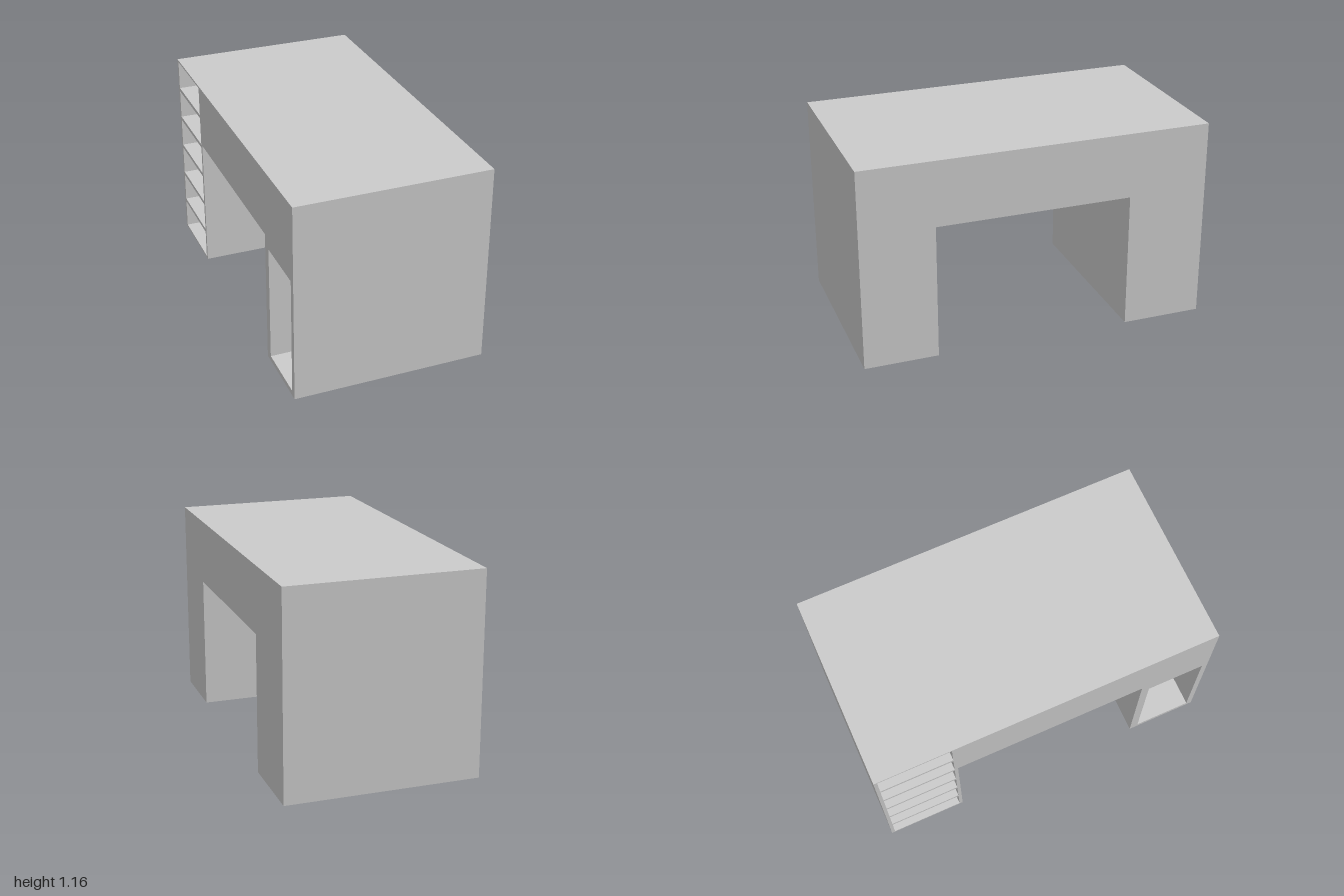
import * as THREE from 'three';

const material = new THREE.MeshStandardMaterial({ color: 0xcccccc, flatShading: true });

// Rectangular opening, given by its z and y ranges (shape u runs along -z)
function opening(z0, z1, y0, y1) {
  return new THREE.Path([[-z0, y0], [-z0, y1], [-z1, y1], [-z1, y0]]
    .map(([u, v]) => new THREE.Vector2(u, v)));
}

// Bridge-shaped slice of the desk between two x positions
function slice(name, x0, x1, holes) {
  const outline = [
    [1, 0.01], [0.58, 0.01], [0.58, 0.785], [-0.54, 0.785],
    [-0.54, 0], [-1, 0], [-1, 1.16], [1, 1.16],
  ].map(([z, y]) => new THREE.Vector2(-z, y));
  const shape = new THREE.Shape(outline);
  shape.holes.push(...holes);
  const geometry = new THREE.ExtrudeGeometry(shape, { depth: x1 - x0, bevelEnabled: false });
  geometry.rotateY(Math.PI / 2).translate(x0, 0, 0);
  const mesh = new THREE.Mesh(geometry, material);
  mesh.name = name;
  return mesh;
}

export function createModel() {
  const desk = new THREE.Group();
  desk.name = 'desk';

  const cupboard = () => opening(0.63, 0.965, 0.04, 0.72);
  const shelves = [];
  for (let i = 0; i < 6; i++) {
    const floor = 0.012 + i * 0.193;
    shelves.push(opening(-0.98, -0.56, floor, floor + 0.172));
  }

  // Shallow shelf section on the right, deep cupboard section, closed left side
  desk.add(
    slice('shelfSection', -0.55, -0.31, [cupboard(), ...shelves]),
    slice('cupboardBody', -0.31, 0.53, [cupboard()]),
    slice('closedSidePanel', 0.53, 0.55, []),
  );
  return desk;
}
